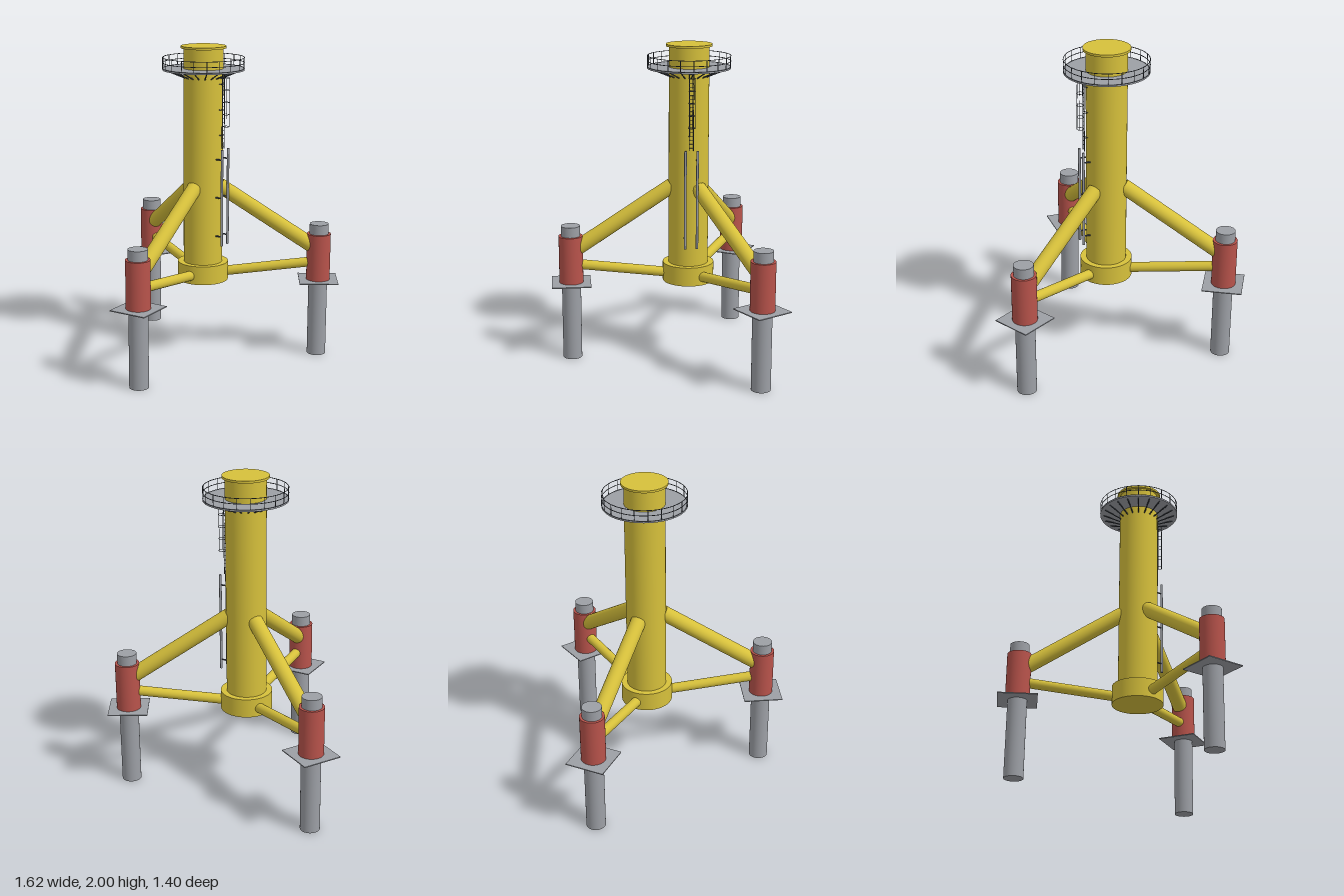
import * as THREE from 'three';

const mat = (name, color) => {
  const m = new THREE.MeshStandardMaterial({ color });
  m.name = name;
  return m;
};

export function createModel() {
  const yellow = mat('yellow paint', 0xd6c03b);
  const red = mat('red paint', 0xb8534b);
  const grey = mat('grey steel', 0x9c9fa5);
  const dark = mat('dark rail steel', 0x4c525b);

  const model = new THREE.Group();
  model.name = 'tripodFoundation';
  // Everything hangs off the tower axis, which sits behind the centre.
  const root = new THREE.Group();
  root.name = 'structure';
  root.position.z = -0.161;
  model.add(root);

  const add = (parent, name, geometry, material) => {
    const mesh = new THREE.Mesh(geometry, material);
    mesh.name = name;
    parent.add(mesh);
    return mesh;
  };
  // Upright cylinder between two heights
  const column = (parent, name, r, y0, y1, material, x = 0, z = 0, sides = 48) => {
    const mesh = add(parent, name, new THREE.CylinderGeometry(r, r, y1 - y0, sides), material);
    mesh.position.set(x, (y0 + y1) / 2, z);
    return mesh;
  };
  // Straight tube between two points
  const bar = (parent, name, a, b, r, material, sides = 8) => {
    const from = new THREE.Vector3(...a), to = new THREE.Vector3(...b);
    const dir = to.clone().sub(from);
    const mesh = add(parent, name, new THREE.CylinderGeometry(r, r, dir.length(), sides), material);
    mesh.position.copy(from).add(to).multiplyScalar(0.5);
    mesh.quaternion.setFromUnitVectors(new THREE.Vector3(0, 1, 0), dir.normalize());
    return mesh;
  };
  // Horizontal ring
  const ring = (parent, name, radius, tube, x, y, material, segments = 48) => {
    const mesh = add(parent, name, new THREE.TorusGeometry(radius, tube, 6, segments), material);
    mesh.rotation.x = Math.PI / 2;
    mesh.position.set(x, y, 0);
    return mesh;
  };

  // Central tower
  column(root, 'tower', 0.124, 0.5, 1.99, yellow, 0, 0, 64);
  column(root, 'baseCollar', 0.161, 0.5, 0.62, yellow, 0, 0, 64);
  column(root, 'topFlange', 0.142, 1.986, 2, yellow, 0, 0, 64);

  // Three identical legs
  const reach = 0.742;
  for (let i = 0; i < 3; i++) {
    const leg = new THREE.Group();
    leg.name = ['frontLeg', 'rearLeftLeg', 'rearRightLeg'][i];
    leg.rotation.y = (i * Math.PI * 2) / 3;
    root.add(leg);
    column(leg, 'pile', 0.06, 0, 0.87, grey, 0, reach);
    column(leg, 'pileSleeve', 0.0755, 0.5, 0.805, red, 0, reach);
    const plate = add(leg, 'mudMat', new THREE.BoxGeometry(0.246, 0.006, 0.246), grey);
    plate.position.set(0, 0.5, reach);
    bar(leg, 'upperBrace', [0, 1.115, 0.105], [0, 0.725, 0.7], 0.048, yellow, 32);
    bar(leg, 'lowerBrace', [0, 0.55, 0.13], [0, 0.618, 0.7], 0.031, yellow, 32);
  }

  // Service platform with railing and support brackets
  const platform = new THREE.Group();
  platform.name = 'servicePlatform';
  root.add(platform);
  column(platform, 'deck', 0.256, 1.85, 1.86, grey, 0, 0, 64);
  for (const y of [1.86, 1.895, 1.928]) ring(platform, 'guardRail', 0.2545, 0.0022, 0, y, dark, 64);
  const posts = 20;
  for (let i = 0; i < posts; i++) {
    const a = (i * Math.PI * 2) / posts, s = Math.sin(a), c = Math.cos(a);
    bar(platform, 'railPost', [s * 0.2545, 1.855, c * 0.2545], [s * 0.2545, 1.928, c * 0.2545], 0.002, dark, 6);
    bar(platform, 'deckBracket', [s * 0.12, 1.803, c * 0.12], [s * 0.235, 1.851, c * 0.235], 0.004, dark, 6);
  }

  // Boat landing on the left side
  const landing = new THREE.Group();
  landing.name = 'boatLanding';
  root.add(landing);
  for (const z of [-0.037, 0.037]) {
    column(landing, 'fender', 0.008, 0.745, 1.365, grey, 0.16, z, 16);
    for (const y of [0.805, 1.055, 1.3]) {
      bar(landing, 'fenderStub', [0.11, y, z], [0.16, y, z], 0.005, dark);
    }
  }

  // Access ladder with safety cage
  const ladder = new THREE.Group();
  ladder.name = 'accessLadder';
  root.add(ladder);
  for (const z of [-0.013, 0.013]) {
    column(ladder, 'ladderRail', 0.0028, 1.365, 1.855, dark, 0.145, z, 8);
    for (const y of [1.45, 1.61, 1.77]) {
      bar(ladder, 'ladderTie', [0.118, y, z], [0.145, y, z], 0.002, dark, 6);
    }
  }
  for (let y = 1.38; y < 1.85; y += 0.025) {
    bar(ladder, 'rung', [0.145, y, -0.013], [0.145, y, 0.013], 0.0016, dark, 6);
  }
  const cageX = 0.166, cageR = 0.021;
  for (let i = 0; i < 5; i++) {
    ring(ladder, 'cageHoop', cageR, 0.0016, cageX, 1.508 + i * 0.0755, dark, 20);
  }
  for (const a of [-1.1, 0, 1.1]) {
    column(ladder, 'cageStrip', 0.0014, 1.508, 1.81, dark,
      cageX + cageR * Math.cos(a), cageR * Math.sin(a), 6);
  }

  return model;
}
